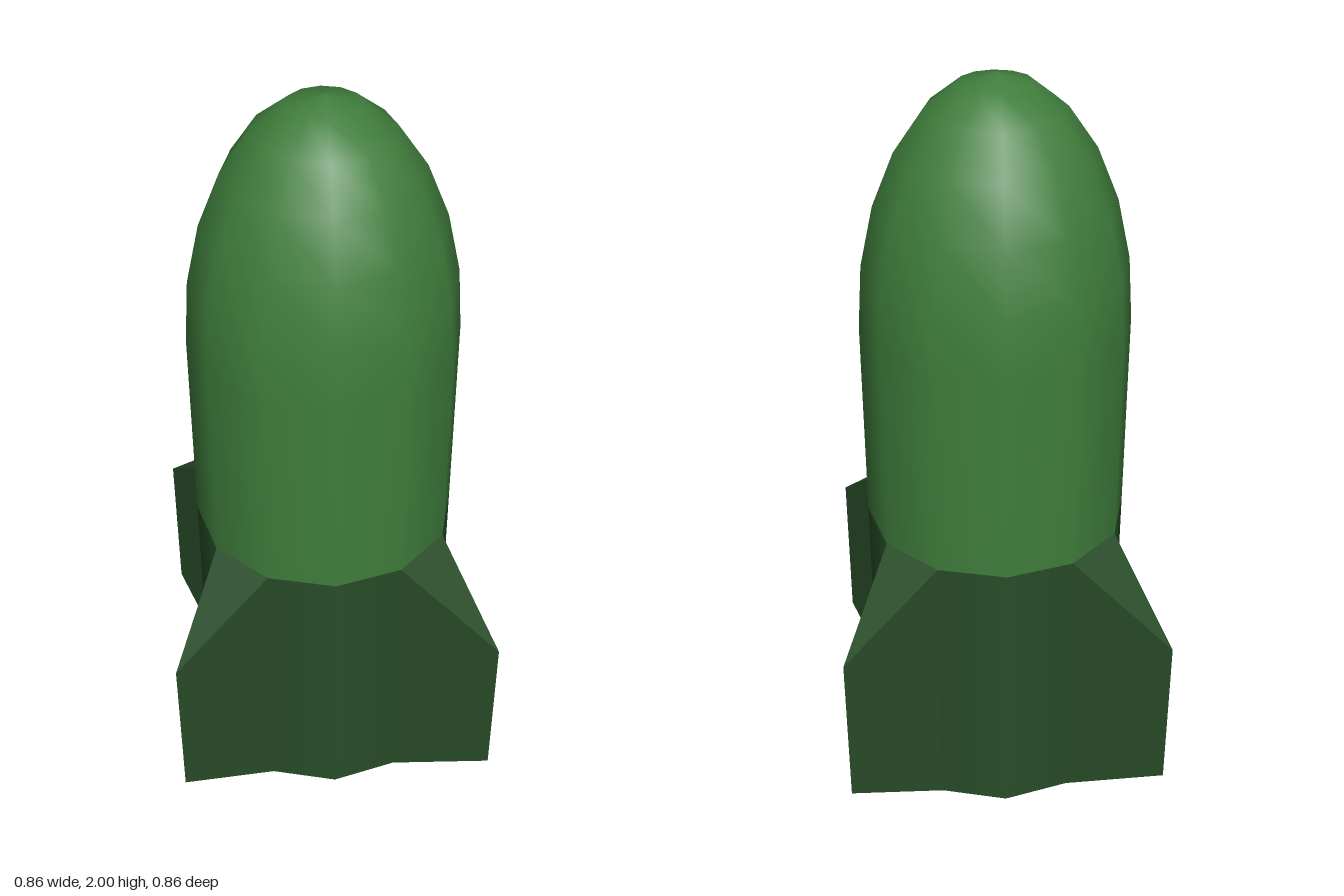
import * as THREE from 'three';

const RADIUS = 0.355;
const SIDES = 12;
const TAIL_TOP = 0.78;
const SHOULDER = 1.34;

// Wedge fin pointing along +z, its root filling one facet of the tail
function finGeometry() {
  const w = RADIUS * Math.sin(Math.PI / SIDES);
  const root = RADIUS * Math.cos(Math.PI / SIDES);
  const tip = 0.611;
  const a = [-w, 0, root], b = [w, 0, root], c = [0, 0.13, tip];
  const d = [-w, TAIL_TOP, root], e = [w, TAIL_TOP, root], f = [0, 0.575, tip];
  const triangles = [
    b, e, f, b, f, c, // one side
    a, c, f, a, f, d, // other side
    d, f, e, // sloping top
    a, b, c, // sloping underside
  ];
  const geometry = new THREE.BufferGeometry();
  geometry.setAttribute('position', new THREE.Float32BufferAttribute(triangles.flat(), 3));
  geometry.computeVertexNormals();
  return geometry;
}

export function createModel() {
  const group = new THREE.Group();
  group.name = 'finnedShell';

  const green = new THREE.MeshStandardMaterial({ color: 0x3f7d3c });
  green.name = 'green';
  const darkGreen = new THREE.MeshStandardMaterial({ color: 0x284c28 });
  darkGreen.name = 'darkGreen';

  const add = (name, geometry, material) => {
    const mesh = new THREE.Mesh(geometry, material);
    mesh.name = name;
    group.add(mesh);
    return mesh;
  };

  // Upper body: straight wall running into an elliptical nose
  const profile = [new THREE.Vector2(RADIUS, TAIL_TOP)];
  for (let i = 0; i <= 6; i++) {
    const t = (i / 6) * Math.PI / 2;
    profile.push(new THREE.Vector2(
      i === 6 ? 0 : RADIUS * Math.cos(t),
      SHOULDER + (2 - SHOULDER) * Math.sin(t),
    ));
  }
  add('body', new THREE.LatheGeometry(profile, SIDES), green);

  // Tail section with closed base
  const tail = new THREE.CylinderGeometry(RADIUS, RADIUS, TAIL_TOP, SIDES);
  tail.translate(0, TAIL_TOP / 2, 0);
  add('tail', tail, darkGreen);

  // Four diagonal fins
  const fin = finGeometry();
  for (let i = 0; i < 4; i++) {
    add('fin' + (i + 1), fin, darkGreen).rotation.y = Math.PI / 4 + i * Math.PI / 2;
  }

  return group;
}
